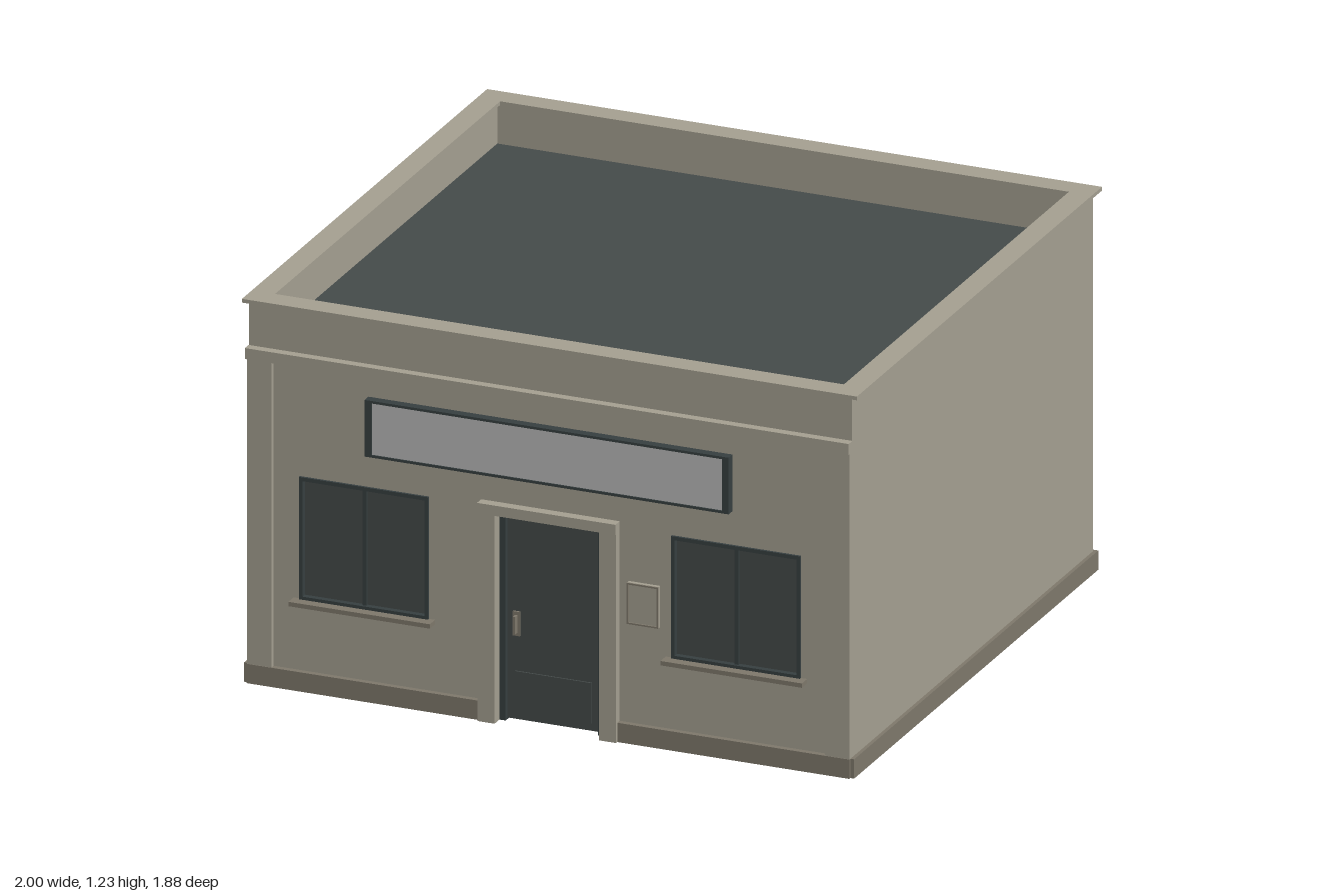
import * as THREE from 'three';

const mat = (name, color) => {
  const m = new THREE.MeshStandardMaterial({ color });
  m.name = name;
  return m;
};

export function createModel() {
  const wall = mat('stone wall', 0xa6a192);
  const trim = mat('dark stone trim', 0x7f796c);
  const frame = mat('dark frame', 0x374041);
  const slate = mat('slate glass and roof', 0x454b4a);
  const signGrey = mat('sign panel', 0xbbbbbb);

  const model = new THREE.Group();
  model.name = 'shop';

  // Box given by its limits on each axis
  const box = (name, m, x0, x1, y0, y1, z0, z1, parent = model) => {
    const mesh = new THREE.Mesh(new THREE.BoxGeometry(x1 - x0, y1 - y0, z1 - z0), m);
    mesh.position.set((x0 + x1) / 2, (y0 + y1) / 2, (z0 + z1) / 2);
    mesh.name = name;
    parent.add(mesh);
    return mesh;
  };
  const rect = (Type, x0, x1, y0, y1) => {
    const p = new Type();
    p.moveTo(x0, y0).lineTo(x1, y0).lineTo(x1, y1).lineTo(x0, y1).closePath();
    return p;
  };
  // Flat outline with holes, pushed out along z
  const panel = (name, m, shape, z0, z1, parent = model) => {
    const g = new THREE.ExtrudeGeometry(shape, { depth: z1 - z0, bevelEnabled: false });
    const mesh = new THREE.Mesh(g, m);
    mesh.position.z = z0;
    mesh.name = name;
    parent.add(mesh);
    return mesh;
  };
  const rectFrame = (name, m, x0, x1, y0, y1, side, end, z0, z1, parent) => {
    const s = rect(THREE.Shape, x0, x1, y0, y1);
    s.holes.push(rect(THREE.Path, x0 + side, x1 - side, y0 + end, y1 - end));
    return panel(name, m, s, z0, z1, parent);
  };

  // Front wall with door and window openings
  const front = new THREE.Shape();
  front.moveTo(-0.98, 0).lineTo(-0.17, 0).lineTo(-0.17, 0.67).lineTo(0.17, 0.67)
    .lineTo(0.17, 0).lineTo(0.98, 0).lineTo(0.98, 1.216).lineTo(-0.98, 1.216).closePath();
  for (const s of [-1, 1]) {
    front.holes.push(rect(THREE.Path, s * 0.605 - 0.21, s * 0.605 + 0.21, 0.29, 0.685));
  }
  panel('frontWall', wall, front, 0.86, 0.9);

  // Back and side walls, open underneath
  box('backWall', wall, -0.98, 0.98, 0, 1.216, -0.92, -0.88);
  for (const s of [-1, 1]) {
    const x = s * 0.96;
    box('sideWall', wall, x - 0.02, x + 0.02, 0, 1.216, -0.88, 0.86);
  }

  // Flat roof behind the parapet
  box('roof', slate, -0.94, 0.94, 1.07, 1.085, -0.88, 0.86);

  // Parapet coping
  box('copingFront', wall, -1, 1, 1.216, 1.228, 0.832, 0.908);
  box('copingBack', wall, -1, 1, 1.216, 1.228, -0.942, -0.866);
  for (const s of [-1, 1]) {
    box('copingSide', wall, s * 0.9625 - 0.0375, s * 0.9625 + 0.0375, 1.216, 1.228, -0.866, 0.832);
  }

  // Plinth around the foot of the walls
  box('plinthBack', trim, -0.992, 0.992, 0, 0.062, -0.932, -0.92);
  for (const s of [-1, 1]) {
    box('plinthSide', trim, s * 0.986 - 0.006, s * 0.986 + 0.006, 0, 0.062, -0.92, 0.91);
    box('plinthFront', trim, s * 0.6025 - 0.3775, s * 0.6025 + 0.3775, 0, 0.062, 0.9, 0.918);
    // Corner pilasters
    box('pilaster', wall, s * 0.94 - 0.04, s * 0.94 + 0.04, 0.062, 1.045, 0.9, 0.916);
  }

  // Cornice
  box('cornice', wall, -0.982, 0.982, 1.045, 1.08, 0.9, 0.928);

  // Windows
  for (const s of [-1, 1]) {
    const w = new THREE.Group();
    w.name = s > 0 ? 'leftWindow' : 'rightWindow';
    w.position.x = s * 0.605;
    model.add(w);
    rectFrame('windowFrame', frame, -0.21, 0.21, 0.29, 0.685, 0.012, 0.012, 0.857, 0.908, w);
    box('windowGlass', slate, -0.198, 0.198, 0.302, 0.673, 0.878, 0.89, w);
    box('mullion', frame, -0.006, 0.006, 0.302, 0.673, 0.87, 0.9, w);
    box('windowSill', trim, -0.23, 0.23, 0.278, 0.292, 0.9, 0.94, w);
  }

  // Door surround
  for (const s of [-1, 1]) {
    box('doorJamb', wall, s * 0.1975 - 0.0275, s * 0.1975 + 0.0275, 0, 0.67, 0.9, 0.927);
  }
  box('doorLintel', wall, -0.225, 0.225, 0.67, 0.703, 0.9, 0.932);

  // Door, frame, kick plate and handle
  for (const s of [-1, 1]) {
    box('doorFrameSide', frame, s * 0.16 - 0.01, s * 0.16 + 0.01, 0, 0.658, 0.852, 0.89);
  }
  box('doorFrameTop', frame, -0.17, 0.17, 0.658, 0.67, 0.852, 0.89);
  box('door', slate, -0.15, 0.15, 0.005, 0.658, 0.856, 0.876);
  box('doorKickPlate', slate, -0.125, 0.125, 0.03, 0.16, 0.876, 0.881);
  box('doorHandlePlate', trim, -0.131, -0.107, 0.274, 0.352, 0.876, 0.882);
  box('doorHandle', trim, -0.123, -0.115, 0.285, 0.341, 0.882, 0.9);

  // Blank sign board
  box('signBoard', frame, -0.592, 0.592, 0.793, 0.975, 0.9, 0.922);
  rectFrame('signFrame', frame, -0.592, 0.592, 0.793, 0.975, 0.022, 0.008, 0.922, 0.929);
  box('signFace', signGrey, -0.57, 0.57, 0.801, 0.967, 0.922, 0.925);

  // Notice box beside the door
  box('noticeBox', wall, 0.255, 0.357, 0.384, 0.516, 0.9, 0.912);
  rectFrame('noticeRim', trim, 0.255, 0.357, 0.384, 0.516, 0.005, 0.005, 0.912, 0.917);

  return model;
}
